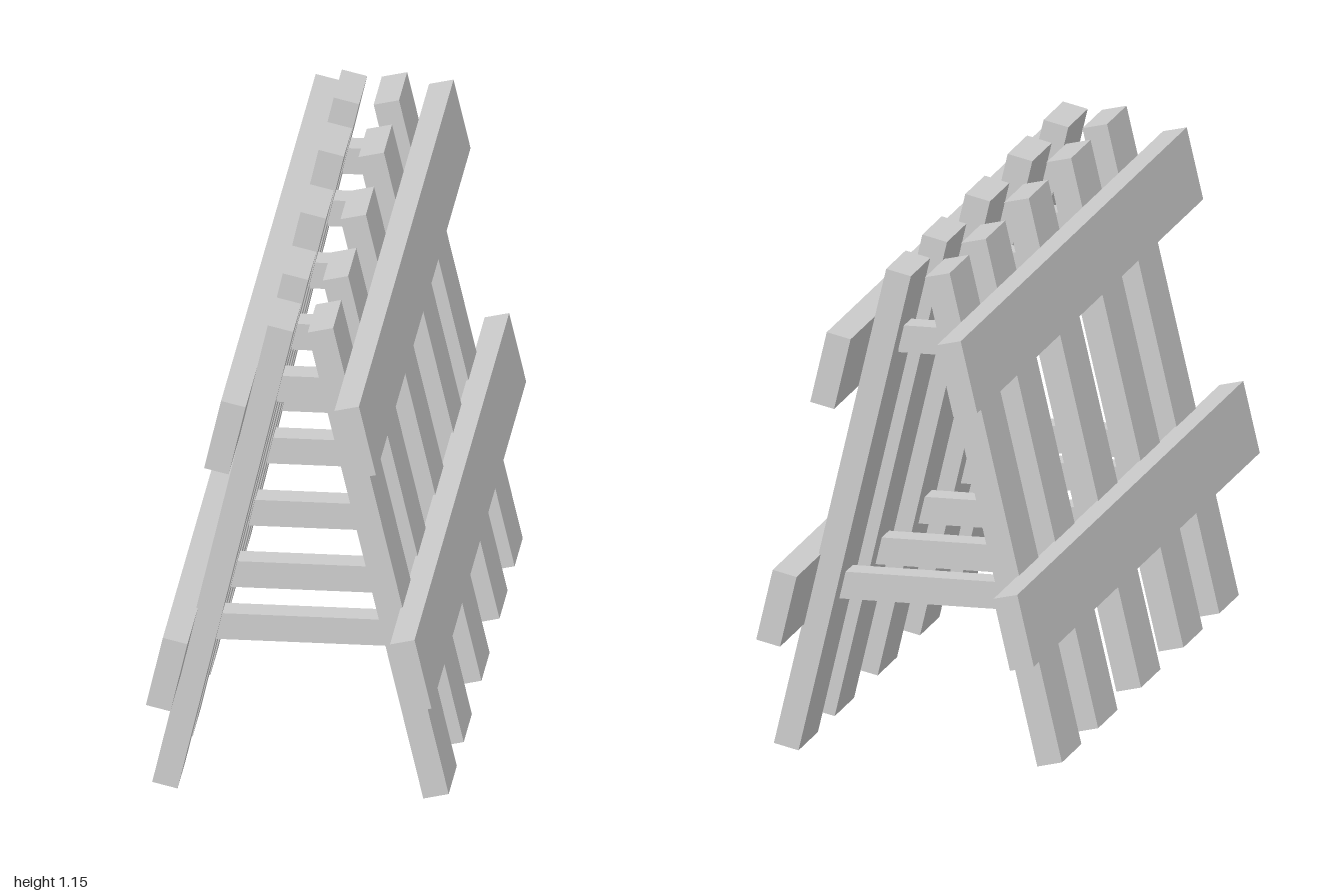
import * as THREE from 'three';

export function createModel() {
  const model = new THREE.Group();
  const material = new THREE.MeshStandardMaterial({ color: 0xcccccc, flatShading: true });
  const lean = Math.atan2(0.266, 1.139); // tilt of each side from vertical

  function plank(name, size, position, tilt = 0) {
    const mesh = new THREE.Mesh(new THREE.BoxGeometry(...size), material);
    mesh.name = name;
    mesh.position.set(...position);
    mesh.rotation.z = tilt;
    model.add(mesh);
  }

  // Five A-frames: two leaning legs joined by two crossbars
  for (const z of [-0.7, -0.38, 0, 0.375, 0.693]) {
    for (const side of [-1, 1]) {
      plank('leg', [0.06, 1.17, 0.172], [side * 0.179, 0.581, z], side * lean);
    }
    plank('upperCrossbar', [0.122, 0.064, 0.064], [0, 0.98, z]);
    plank('lowerCrossbar', [0.4, 0.064, 0.064], [0, 0.388, z]);
  }

  // Long rails on the outside of the legs; the right lower one sits a little lower
  for (const side of [-1, 1]) {
    const lowerX = side > 0 ? 0.278 : -0.284;
    const lowerY = side > 0 ? 0.395 : 0.375;
    plank('upperRail', [0.058, 0.172, 2], [side * 0.15, 0.966, 0], side * lean);
    plank('lowerRail', [0.058, 0.172, 2], [lowerX, lowerY, 0], side * lean);
  }

  return model;
}
